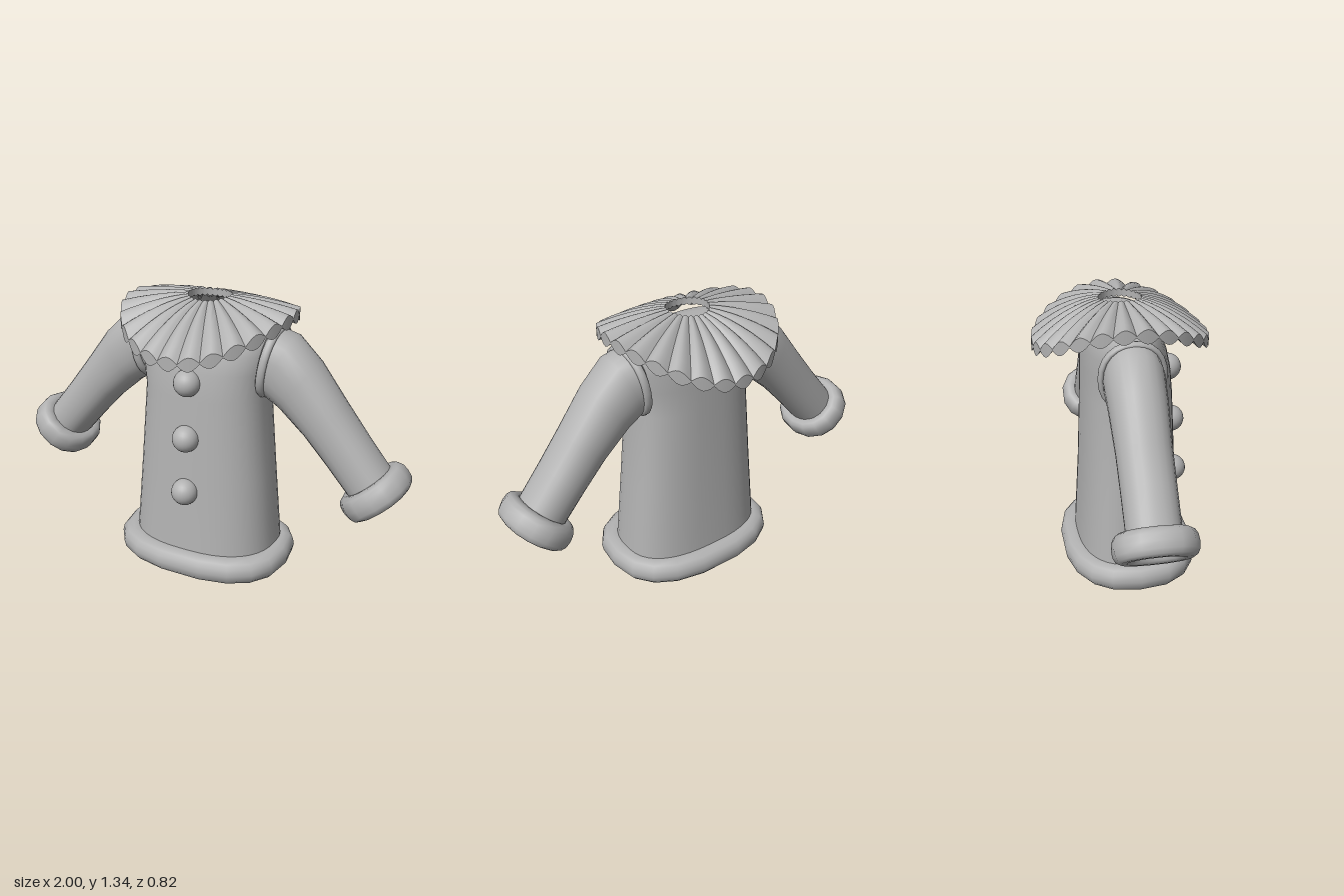
import * as THREE from 'three';
import { toCreasedNormals } from 'three/addons/utils/BufferGeometryUtils.js';

const TAU = Math.PI * 2;
const fabric = new THREE.MeshStandardMaterial({ color: 0xb2b2b2, side: THREE.DoubleSide });
fabric.name = 'grey fabric';

// cosine / sine of a superellipse (n = 2 is a plain ellipse)
const power = (v, n) => Math.sign(v) * Math.abs(v) ** (2 / n);
const cosN = (t, n) => power(Math.cos(t), n);
const sinN = (t, n) => power(Math.sin(t), n);

// Skin of ring sections; point(i, angle) gives the corner of ring i
function loft(rings, sides, closed, point) {
  const pos = [], index = [];
  for (let i = 0; i < rings; i++)
    for (let j = 0; j < sides; j++) pos.push(...point(i, (j / sides) * TAU));
  const spans = closed ? rings : rings - 1;
  for (let i = 0; i < spans; i++)
    for (let j = 0; j < sides; j++) {
      const k = (j + 1) % sides, n = (i + 1) % rings;
      const a = i * sides + j, b = i * sides + k, c = n * sides + j, d = n * sides + k;
      index.push(a, c, b, b, c, d);
    }
  const g = new THREE.BufferGeometry();
  g.setAttribute('position', new THREE.Float32BufferAttribute(pos, 3));
  g.setIndex(index);
  g.computeVertexNormals();
  return g;
}

function part(name, geometry) {
  const m = new THREE.Mesh(geometry, fabric);
  m.name = name;
  return m;
}

// Rounded closed band: half widths a, b of its centre line, tube size r by h
function band(a, b, r, h, sides, n, tubeN, zShift = 0) {
  const steps = 14;
  return loft(steps, sides, true, (i, t) => {
    const f = (i / steps) * TAU, out = r * cosN(f, tubeN);
    return [(a + out) * cosN(t, n), h * sinN(f, tubeN), zShift + (b + out) * sinN(t, n)];
  });
}

// Torso sections: y, half width, front z, back z
const torso = [
  [0.06, 0.372, 0.285, -0.225], [0.13, 0.366, 0.28, -0.22], [0.5, 0.335, 0.255, -0.2],
  [0.9, 0.302, 0.236, -0.187], [1.03, 0.32, 0.222, -0.184], [1.12, 0.34, 0.2, -0.18],
  [1.2, 0.34, 0.168, -0.168], [1.245, 0.3, 0.135, -0.14], [1.27, 0.2, 0.1, -0.1],
  [1.275, 0.1, 0.06, -0.06], [1.275, 0.001, 0.001, -0.001],
];

// Sleeve sections: x, y, direction x, direction y, half height, half depth
const sleeve = [
  [0.3, 1.07, 0.98, -0.17, 0.165, 0.132], [0.37, 1.05, 0.93, -0.37, 0.165, 0.135],
  [0.46, 0.975, 0.8, -0.6, 0.145, 0.13], [0.59, 0.83, 0.68, -0.73, 0.123, 0.122],
  [0.7, 0.7, 0.67, -0.74, 0.115, 0.12], [0.86, 0.51, 0.64, -0.77, 0.11, 0.118],
];

// Pleated ruff: saddle-shaped disc with rounded pleats
function ruff() {
  const pleats = 26, inner = 0.1, outer = 0.412, steps = 7;
  const g = loft(steps * 2, pleats * 6, true, (i, t) => {
    const top = i >= steps;
    const k = (top ? steps * 2 - 1 - i : i) / (steps - 1);
    const r = inner + (outer - inner) * k, w = r / outer;
    const x = r * Math.cos(t), z = r * Math.sin(t);
    const lobe = Math.abs(Math.sin((pleats * t) / 2));
    const base = 1.345 - 0.25 * x * x - 1.1 * z * z;
    const y = top ? base + 0.03 * w * (lobe - 0.8) : base - 0.03 - 0.03 * w * lobe;
    return [x, y, z];
  });
  return toCreasedNormals(g, 0.6);
}

function arm(name) {
  const arm = new THREE.Group();
  arm.name = name;
  arm.add(part('sleeve', loft(sleeve.length, 24, false, (i, t) => {
    const [x, y, dx, dy, a, b] = sleeve[i];
    const u = a * cosN(t, 2.2);
    return [x + dy * u, y - dx * u, b * sinN(t, 2.2)];
  })));
  // armhole seam
  const seam = part('armholeSeam', band(0.16, 0.142, 0.014, 0.02, 24, 2.2, 2));
  seam.position.set(0.325, 1.065, 0);
  seam.rotation.z = Math.atan2(-0.17, 0.98) - Math.PI / 2;
  // cuff at the wrist
  const cuff = part('cuff', band(0.125, 0.14, 0.045, 0.063, 14, 2.15, 2.4));
  cuff.position.set(0.847, 0.522, 0);
  cuff.rotation.z = Math.atan2(-0.77, 0.64) - Math.PI / 2;
  arm.add(seam, cuff);
  return arm;
}

export function createModel() {
  const model = new THREE.Group();
  model.name = 'ruffedCoat';

  model.add(part('torso', loft(torso.length, 40, false, (i, t) => {
    const [y, a, front, back] = torso[i];
    const s = sinN(t, 2.5);
    return [a * cosN(t, 2.5), y, s > 0 ? s * front : -s * back];
  })));

  // hem around the open bottom
  const hem = part('hem', band(0.37, 0.255, 0.07, 0.064, 18, 2.5, 2.3, 0.03));
  hem.position.y = 0.066;
  model.add(hem);

  model.add(part('ruff', ruff()));

  // front buttons
  for (const [y, z] of [[0.98, 0.23], [0.71, 0.25], [0.44, 0.266]]) {
    const button = part('button', new THREE.SphereGeometry(0.064, 24, 16));
    button.position.set(0, y, z);
    model.add(button);
  }

  // sleeves, the right one turned half way round
  const right = arm('rightArm');
  right.rotation.y = Math.PI;
  model.add(arm('leftArm'), right);
  return model;
}
